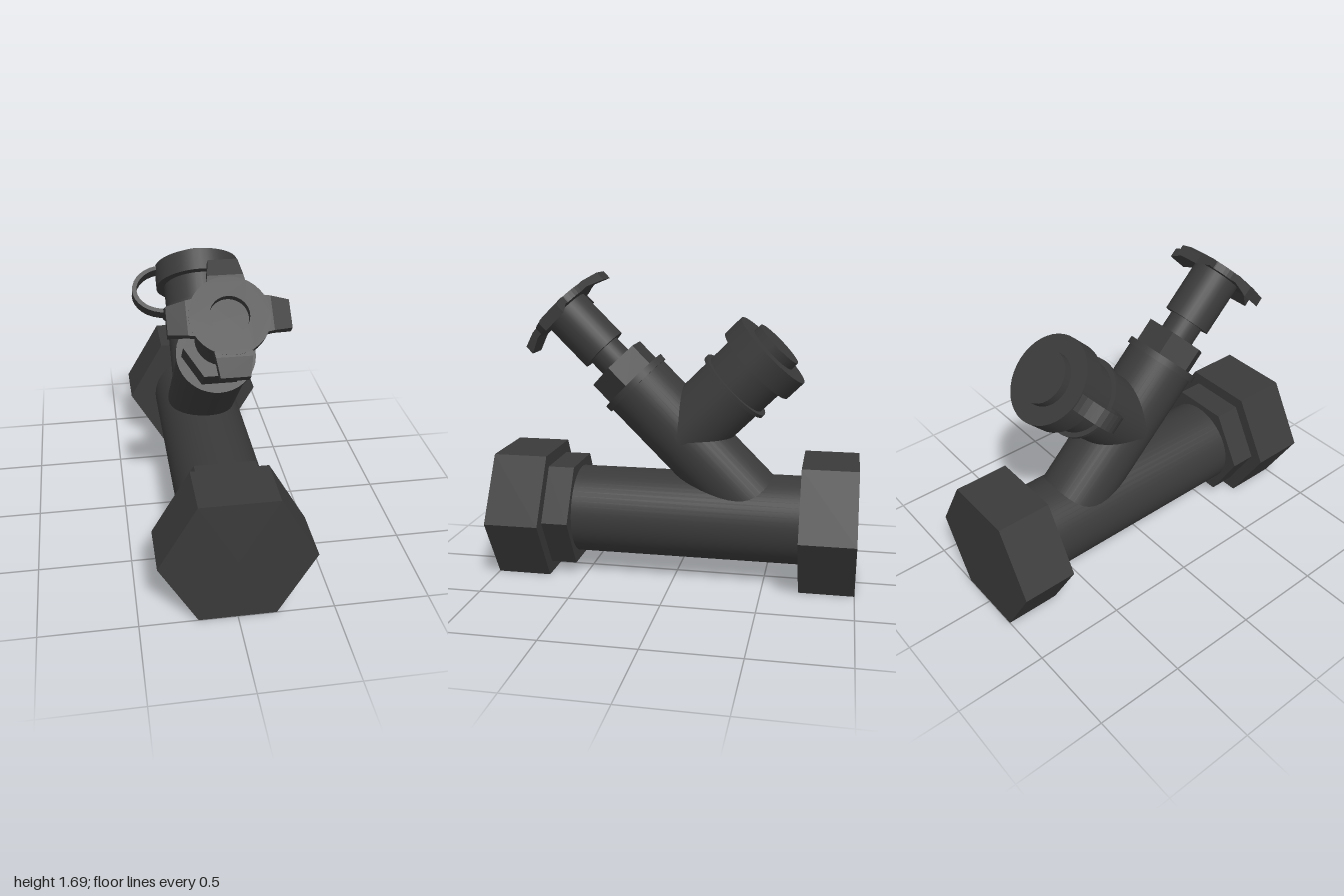
import * as THREE from 'three';

const smooth = new THREE.MeshStandardMaterial({ color: 0x3a3a3a });
const flat = new THREE.MeshStandardMaterial({ color: 0x3a3a3a, flatShading: true });

function add(parent, name, geometry, material = smooth) {
  const mesh = new THREE.Mesh(geometry, material);
  mesh.name = name;
  parent.add(mesh);
  return mesh;
}

// Round section running from a to b along the local y axis
function round(parent, name, r, a, b, sides = 40) {
  add(parent, name, new THREE.CylinderGeometry(r, r, b - a, sides).translate(0, (a + b) / 2, 0));
}

// Hexagonal section with two corners on the x axis
function hex(parent, name, r, a, b) {
  const g = new THREE.CylinderGeometry(r, r, b - a, 6, 1, false, Math.PI / 6);
  add(parent, name, g.translate(0, (a + b) / 2, 0), flat);
}

// Group whose local y axis is tilted about x
function axisGroup(parent, name, y, z, tilt) {
  const g = new THREE.Group();
  g.name = name;
  g.position.set(0, y, z);
  g.rotation.x = tilt;
  parent.add(g);
  return g;
}

export function createModel() {
  const model = new THREE.Group();
  model.name = 'angledValve';

  // Main pipe with hexagonal ends, local y pointing to the front
  const main = axisGroup(model, 'mainPipe', 0.347, 0, Math.PI / 2);
  round(main, 'pipe', 0.245, -0.75, 0.6, 56);
  hex(main, 'backHexEnd', 0.4, -1, -0.7);
  hex(main, 'frontHexCollar', 0.323, 0.555, 0.71);
  hex(main, 'frontHexEnd', 0.4, 0.7, 1);

  // Valve branch leaning to the front
  const valve = axisGroup(model, 'valveBranch', 0.347, -0.506, Math.PI / 4);
  round(valve, 'valveBody', 0.195, 0, 1.04);
  round(valve, 'valveRim', 0.209, 1.028, 1.066);
  hex(valve, 'packingNut', 0.182, 1.06, 1.2);
  round(valve, 'stem', 0.097, 1.19, 1.31, 32);
  round(valve, 'handleNeck', 0.134, 1.3, 1.6, 32);

  // Handwheel: ring plate and four drooping arms
  const wheel = new THREE.Group();
  wheel.name = 'handwheel';
  valve.add(wheel);
  const plate = new THREE.Shape().absarc(0, 0, 0.192, 0, Math.PI * 2);
  plate.holes.push(new THREE.Path().absarc(0, 0, 0.094, 0, Math.PI * 2, true));
  const plateGeo = new THREE.ExtrudeGeometry(plate, { depth: 0.042, bevelEnabled: false, curveSegments: 24 });
  add(wheel, 'wheelPlate', plateGeo.rotateX(-Math.PI / 2).translate(0, 1.598, 0));

  const armProfile = new THREE.Shape([
    [0.14, 1.64], [0.2, 1.638], [0.29, 1.612], [0.29, 1.56], [0.2, 1.598], [0.14, 1.598],
  ].map(([x, y]) => new THREE.Vector2(x, y)));
  const armGeo = new THREE.ExtrudeGeometry(armProfile, { depth: 0.14, bevelEnabled: false }).translate(0, 0, -0.07);
  const p = armGeo.attributes.position;
  // Arms widen towards the hub
  for (let i = 0; i < p.count; i++) p.setZ(i, p.getZ(i) * (1 + (0.29 - p.getX(i)) * 2.4));
  for (let i = 0; i < 4; i++) add(wheel, 'wheelArm', armGeo, flat).rotation.y = i * Math.PI / 2;

  // Capped branch leaning to the back
  const port = axisGroup(model, 'drainBranch', 0.385, 0.385, -Math.PI / 4);
  round(port, 'drainBody', 0.197, 0.6, 1.17);
  round(port, 'strapRing', 0.224, 0.985, 1.005);
  round(port, 'cap', 0.242, 1.157, 1.28);
  round(port, 'capDisc', 0.143, 1.27, 1.327, 32);

  // Strap loop joining ring and cap on the model's right
  const strap = new THREE.Shape();
  strap.absellipse(-0.2, 1.13, 0.185, 0.145, Math.PI / 2, Math.PI * 1.5);
  strap.absellipse(-0.2, 1.13, 0.16, 0.122, Math.PI * 1.5, Math.PI / 2, true);
  const strapGeo = new THREE.ExtrudeGeometry(strap, { depth: 0.09, bevelEnabled: false, curveSegments: 8 });
  add(port, 'capStrap', strapGeo.translate(0, 0, -0.045), flat);

  return model;
}
